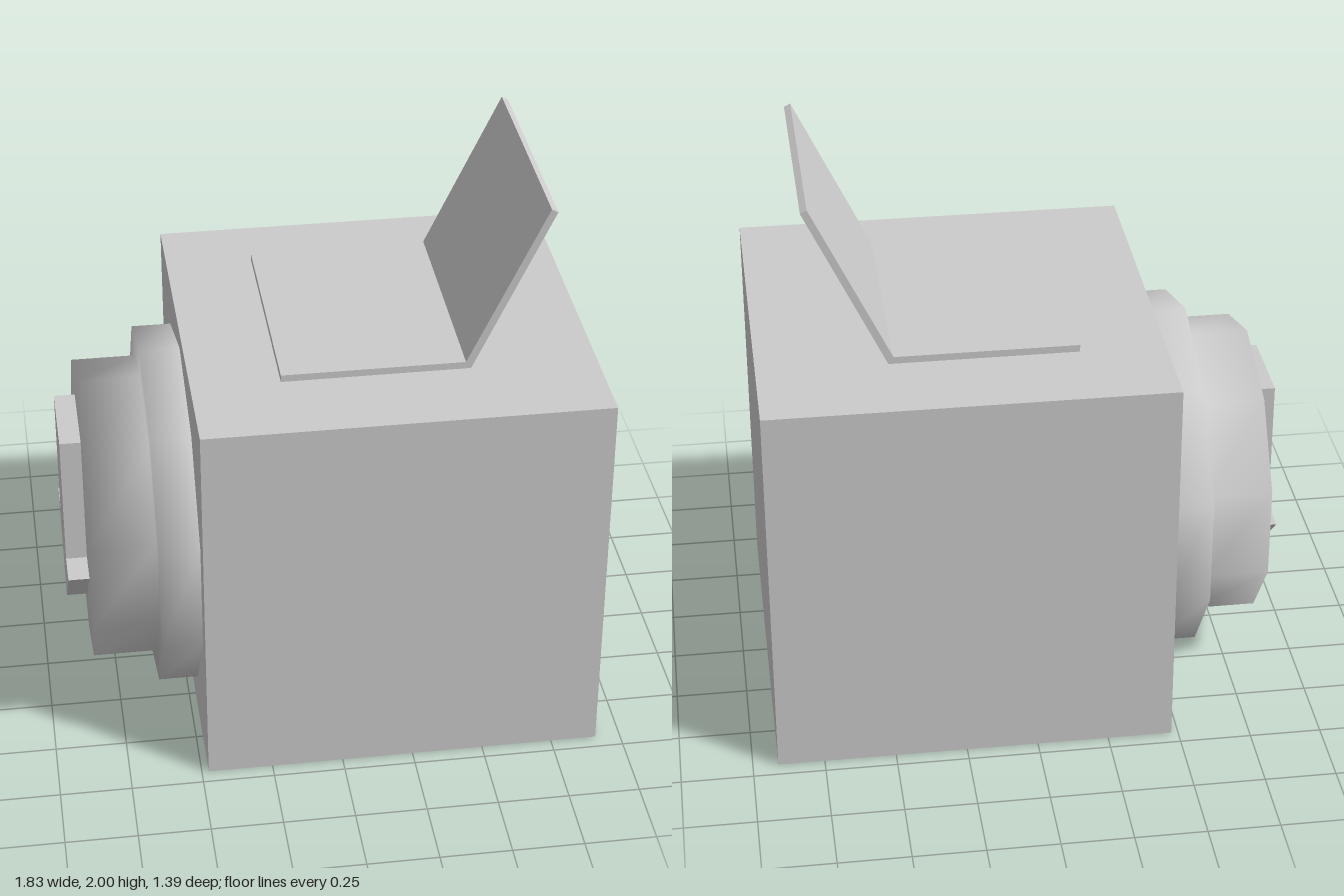
import * as THREE from 'three';

const grey = new THREE.MeshStandardMaterial({ color: 0xcccccc });

function addMesh(group, name, geometry) {
  const mesh = new THREE.Mesh(geometry, grey);
  mesh.name = name;
  group.add(mesh);
  return mesh;
}

// Prism from a closed outline of [x, y] corners
function prism(corners, depth) {
  const shape = new THREE.Shape(corners.map(([x, y]) => new THREE.Vector2(x, y)));
  return new THREE.ExtrudeGeometry(shape, { depth, bevelEnabled: false });
}

export function createModel() {
  const model = new THREE.Group();

  // Cube body
  const body = addMesh(model, 'body', new THREE.BoxGeometry(1.388, 1.392, 1.392));
  body.position.set(0.218, 0.696, 0);

  // Stepped ten-sided knob on the side, smooth shaded over its edges
  const profile = [[0.635, 0.476], [0.635, 0.616], [0.53, 0.616], [0.53, 0.841], [0, 0.841]]
    .map(([r, h]) => new THREE.Vector2(r, h));
  const knob = addMesh(model, 'knob', new THREE.LatheGeometry(profile, 10, Math.PI / 2));
  knob.rotation.z = Math.PI / 2;
  knob.position.y = 0.687;

  // Raised arrow on the knob, pointing down
  const arrow = addMesh(model, 'arrow', prism([
    [0, 0.305], [0.29, 0.58], [0.158, 0.58], [0.158, 1.065],
    [-0.158, 1.065], [-0.158, 0.58], [-0.293, 0.58],
  ], 0.08));
  arrow.rotation.y = -Math.PI / 2;
  arrow.position.x = -0.835;

  // Bent plate hovering just above the body
  const plate = addMesh(model, 'bentPlate', prism([
    [-0.175, 1.415], [0.47, 1.415], [0.742, 1.988],
    [0.72, 2], [0.452, 1.44], [-0.175, 1.44],
  ], 0.84));
  plate.position.z = -0.422;

  return model;
}
